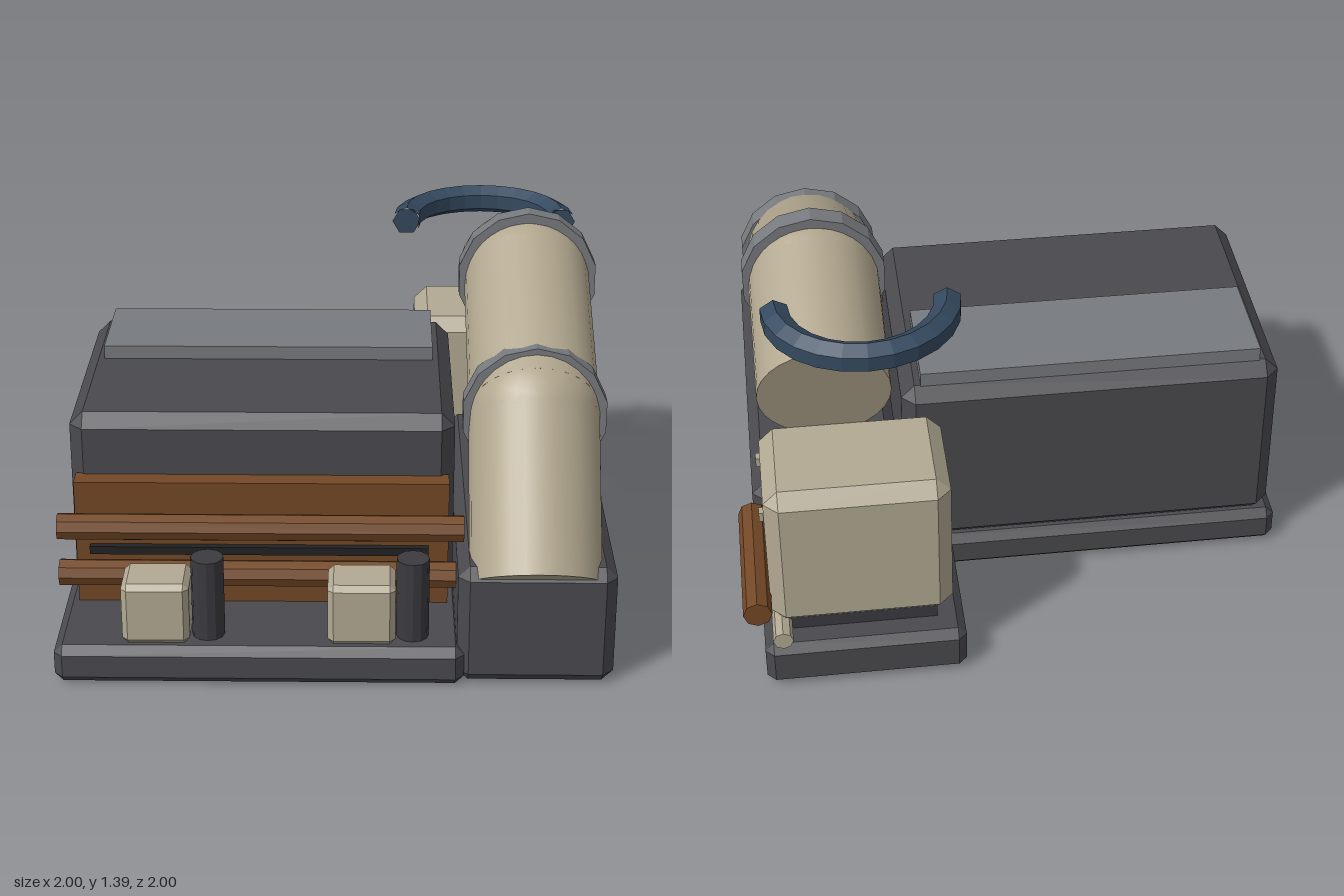
import * as THREE from 'three';
import { ConvexGeometry } from 'three/addons/geometries/ConvexGeometry.js';

const paint = (name, color, flatShading = true) => {
  const m = new THREE.MeshStandardMaterial({ color, flatShading });
  m.name = name;
  return m;
};

export function createModel() {
  const model = new THREE.Group();
  model.name = 'machineryUnit';
  const dark = paint('charcoal', 0x4a494e);
  const darker = paint('darkIron', 0x3b3b40);
  const black = paint('black', 0x222224);
  const beige = paint('beige', 0xb2a993);
  const duct = paint('ductBeige', 0xb2a78f, false);
  const brown = paint('copperBrown', 0x744826);
  const steel = paint('steelGrey', 0x777a7e);
  const blue = paint('hoseBlue', 0x34495f);

  const add = (name, geometry, material, x = 0, y = 0, z = 0) => {
    const mesh = new THREE.Mesh(geometry, material);
    mesh.name = name;
    mesh.position.set(x, y, z);
    model.add(mesh);
    return mesh;
  };

  // Box given by its limits, with every edge and corner chamfered by c
  const block = (name, material, [x0, x1], [y0, y1], [z0, z1], c = 0) => {
    const w = (x1 - x0) / 2, h = (y1 - y0) / 2, d = (z1 - z0) / 2;
    let geometry = new THREE.BoxGeometry(2 * w, 2 * h, 2 * d);
    if (c) {
      const points = [];
      for (const sx of [-1, 1]) for (const sy of [-1, 1]) for (const sz of [-1, 1]) {
        points.push(
          new THREE.Vector3(sx * w, sy * (h - c), sz * (d - c)),
          new THREE.Vector3(sx * (w - c), sy * h, sz * (d - c)),
          new THREE.Vector3(sx * (w - c), sy * (h - c), sz * d));
      }
      geometry = new ConvexGeometry(points);
    }
    return add(name, geometry, material, x0 + w, y0 + h, z0 + d);
  };

  // Cylinder between two points
  const rod = (name, material, a, b, r, sides) => {
    const from = new THREE.Vector3(...a), to = new THREE.Vector3(...b);
    const dir = to.clone().sub(from);
    const mid = from.clone().add(to).multiplyScalar(0.5);
    const mesh = add(name, new THREE.CylinderGeometry(r, r, dir.length(), sides), material, mid.x, mid.y, mid.z);
    mesh.quaternion.setFromUnitVectors(new THREE.Vector3(0, 1, 0), dir.normalize());
    return mesh;
  };

  // Bases and housing
  block('basePlate', dark, [-1, 0.42], [0, 0.142], [-0.465, 0.93], 0.03);
  block('housing', dark, [-0.97, 0.39], [0.142, 0.83], [-0.465, 0.51], 0.048);
  block('housingLid', steel, [-0.9, 0.32], [0.82, 0.88], [-0.42, -0.03]);
  block('ductBase', dark, [0.395, 0.94], [0, 0.44], [-0.46, 0.91], 0.04);
  block('rearBase', dark, [0.225, 0.93], [0, 0.175], [-1, -0.465], 0.03);

  // Front panel with slots and two pipes
  block('frontPanel', brown, [-0.95, 0.37], [0.142, 0.61], [0.5, 0.58]);
  for (const y of [0.355, 0.413]) {
    block('panelSlot', black, [-0.9, 0.3], [y - 0.015, y + 0.015], [0.575, 0.605]);
  }
  for (const y of [0.478, 0.298]) {
    rod('frontPipe', brown, [-1, y, 0.66], [0.42, y, 0.66], 0.048, 8);
  }

  // Two pairs of valve box and post on the front ledge
  for (const x of [-0.645, 0.065]) {
    block('valveBox', beige, [x - 0.117, x + 0.117], [0.142, 0.37], [0.71, 0.9], 0.02);
    rod('post', darker, [x + 0.177, 0.13, 0.81], [x + 0.177, 0.44, 0.81], 0.057, 12);
  }

  // Bent duct: three straight runs with rounded joints
  const X = 0.665, R = 0.23;
  const path = [[X, 0.346, 0.813], [X, 0.84, 0.465], [X, 1.122, -0.118], [X, 0.975, -0.61]];
  for (let i = 0; i < 3; i++) rod('ductRun', duct, path[i], path[i + 1], R, 28);
  for (const p of path.slice(1, 3)) {
    add('ductElbow', new THREE.SphereGeometry(R, 28, 18), duct, ...p);
  }
  for (const [y, z] of [[0.84, 0.473], [1.13, -0.118]]) {
    const collar = add('ductCollar', new THREE.CylinderGeometry(0.256, 0.256, 0.076, 14), steel, X, y, z);
    collar.rotation.x = Math.PI / 2;
    if (z > 0) collar.rotation.x = -Math.PI / 2;
    collar.rotateY(Math.PI);
    if (z > 0) collar.rotateY(Math.PI);
  }

  // Curved hose over the duct's end
  const ringPoint = (a) => new THREE.Vector3(0.52 + 0.295 * Math.cos(a), 1.225, -0.47 - 0.285 * Math.sin(a));
  const arc = Array.from({ length: 13 }, (_, i) => ringPoint(Math.PI * i / 12));
  add('hose', new THREE.TubeGeometry(new THREE.CatmullRomCurve3(arc), 12, 0.054, 6), blue);
  for (const side of [1, -1]) {
    const end = add('hoseEnd', new THREE.CircleGeometry(0.054, 6), blue, 0.52 + side * 0.295, 1.225, -0.47);
    end.rotation.z = 0;
  }

  // Rear tank with its side lugs and pipes
  block('rearTank', beige, [0.265, 0.9], [0.225, 0.8], [-0.95, -0.51], 0.05);
  block('tankFoot', darker, [0.32, 0.85], [0.16, 0.24], [-0.9, -0.56]);
  for (const z of [-0.585, -0.875]) {
    block('tankLug', beige, [0.885, 0.915], [0.67, 0.705], [z - 0.016, z + 0.016]);
  }
  rod('rearThinPipe', beige, [0.865, 0.212, -1], [0.865, 0.212, -0.465], 0.035, 8);
  rod('rearPipe', brown, [0.945, 0.345, -1], [0.945, 0.345, -0.465], 0.05, 8);

  return model;
}
